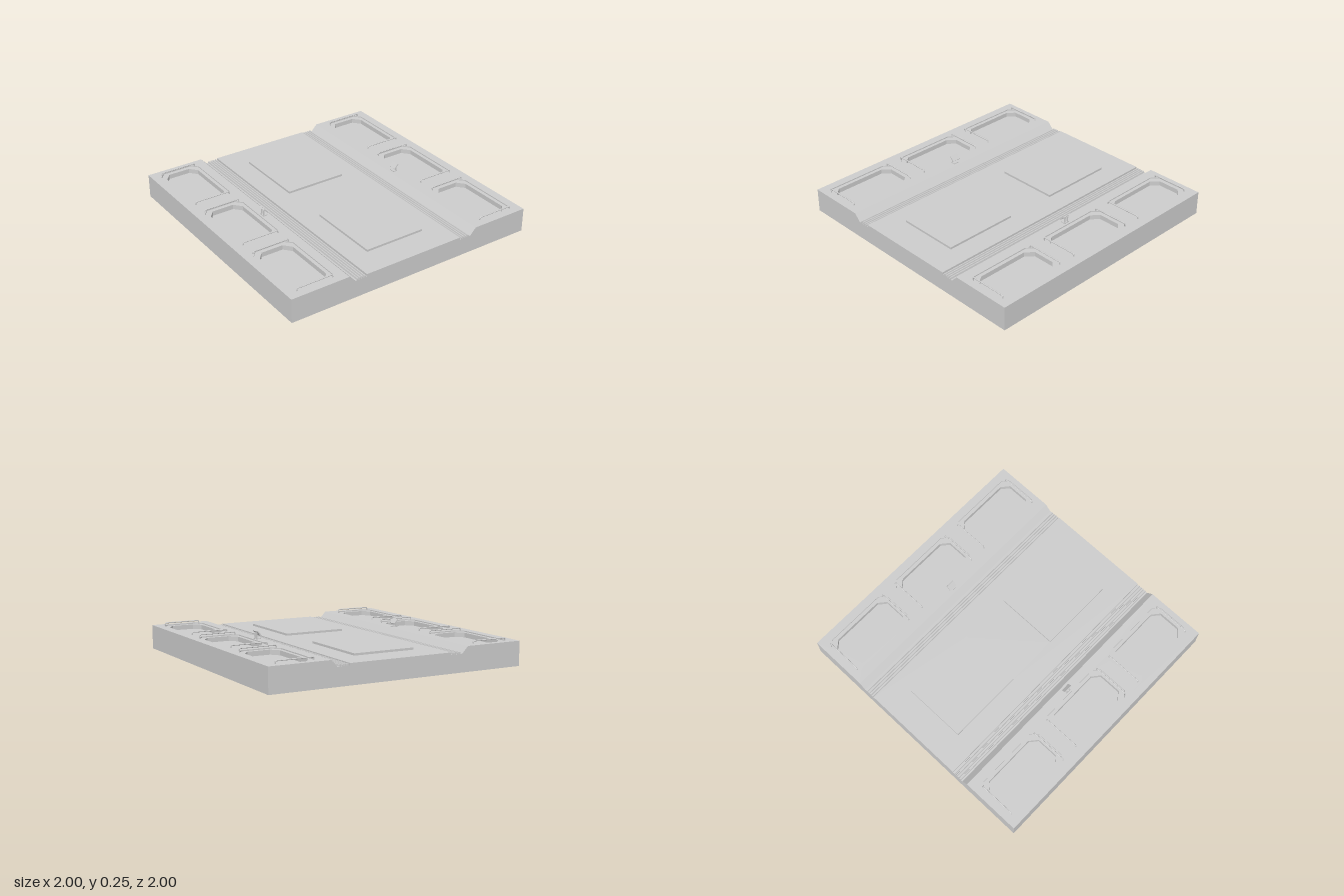
import * as THREE from 'three';

const mat = new THREE.MeshStandardMaterial({ color: 0xcccccc, flatShading: true, side: THREE.DoubleSide });
const TOP = 0.183, FLOOR = 0.15, GROOVE = 0.133, PAD = 0.166, LEDGE = 0.175, POCKET = 0.14;

function add(parent, name, geometry) {
  const mesh = new THREE.Mesh(geometry, mat);
  mesh.name = name;
  parent.add(mesh);
  return mesh;
}

// Surface between two matching rows of [x, y, z] points
function strip(a, b, closed) {
  const pos = [], n = a.length;
  for (let i = 0; i < (closed ? n : n - 1); i++) {
    const j = (i + 1) % n;
    pos.push(...a[i], ...a[j], ...b[j], ...a[i], ...b[j], ...b[i]);
  }
  const g = new THREE.BufferGeometry();
  g.setAttribute('position', new THREE.Float32BufferAttribute(pos, 3));
  g.computeVertexNormals();
  return g;
}

// Rectangle with cut corners as [x, -z] pairs, counter-clockwise from above
function cutRect(x0, x1, y0, y1, cx, cy) {
  if (!cx) return [[x0, y0], [x1, y0], [x1, y1], [x0, y1]];
  return [[x0 + cx, y0], [x1 - cx, y0], [x1, y0 + cy], [x1, y1 - cy],
    [x1 - cx, y1], [x0 + cx, y1], [x0, y1 - cy], [x0, y0 + cy]];
}
const toShape = (pts) => new THREE.Shape(pts.map((p) => new THREE.Vector2(p[0], p[1])));
const ringAt = (pts, y) => pts.map((p) => [p[0], y, -p[1]]);

// Horizontal sheet with holes
function sheet(pts, y, holes = []) {
  const shape = toShape(pts);
  shape.holes = holes.map((h) => new THREE.Path(h.map((p) => new THREE.Vector2(p[0], p[1]))));
  return new THREE.ShapeGeometry(shape).rotateX(-Math.PI / 2).translate(0, y, 0);
}

// Lashing bar with bent ends, standing over a pocket edge
function lashingBar(x0, x1, z) {
  const v = (x, y) => new THREE.Vector3(x, y, z), y = 0.202, r = 0.012;
  const path = new THREE.CurvePath();
  path.add(new THREE.LineCurve3(v(x0, LEDGE), v(x0, y - r)));
  path.add(new THREE.QuadraticBezierCurve3(v(x0, y - r), v(x0, y), v(x0 + r, y)));
  path.add(new THREE.LineCurve3(v(x0 + r, y), v(x1 - r, y)));
  path.add(new THREE.QuadraticBezierCurve3(v(x1 - r, y), v(x1, y), v(x1, y - r)));
  path.add(new THREE.LineCurve3(v(x1, y - r), v(x1, LEDGE)));
  return new THREE.TubeGeometry(path, 72, 0.005, 8);
}

export function createModel() {
  const model = new THREE.Group();
  model.name = 'deckSection';

  // Smooth channels, one on each side of the centre panel: slope, groove, step up
  const left = [[-0.545, TOP], [-0.497, GROOVE], [-0.403, GROOVE], [-0.403, FLOOR]];
  const right = left.map(([x, y]) => [-x, y]).reverse();
  for (const [name, p] of [['rightChannel', left], ['leftChannel', right]]) {
    add(model, name, strip(p.map(([x, y]) => [x, y, 1]), p.map(([x, y]) => [x, y, -1])));
  }

  // Ribs running along each groove
  const rib = toShape([[-0.007, 0], [0.007, 0], [0.004, 0.013], [-0.004, 0.013]]);
  for (const s of [-1, 1]) {
    for (let i = 0; i < 4; i++) {
      add(model, 'grooveRib', new THREE.ExtrudeGeometry(rib, { depth: 2, bevelEnabled: false }))
        .position.set(s * (0.419 + i * 0.0195), GROOVE, -1);
    }
  }

  // Outer walls; the underside stays open
  const outline = [[-1, 0], [1, 0], [1, TOP], ...right.slice().reverse(), ...left.slice().reverse(), [-1, TOP]];
  add(model, 'frontWall', new THREE.ShapeGeometry(toShape(outline)).translate(0, 0, 1));
  add(model, 'backWall', new THREE.ShapeGeometry(toShape(outline)).rotateY(Math.PI).translate(0, 0, -1));
  for (const s of [-1, 1]) {
    add(model, s > 0 ? 'leftWall' : 'rightWall',
      new THREE.PlaneGeometry(2, TOP).rotateY(s * Math.PI / 2).translate(s, TOP / 2, 0));
  }

  // Centre panel with two raised pads
  const pads = [cutRect(-0.24, 0.24, -0.78, -0.2), cutRect(-0.24, 0.24, 0.2, 0.78)];
  add(model, 'centrePanel', sheet(cutRect(-0.403, 0.403, -1, 1), FLOOR, pads));
  for (const p of pads) {
    add(model, 'padEdge', strip(ringAt(p, FLOOR), ringAt(p, PAD), true));
    add(model, 'padTop', sheet(p, PAD));
  }

  // Side decks with stepped pockets, lashing bars and a cleat
  const spans = [[-0.958, -0.382], [-0.288, 0.288], [0.382, 0.958]];
  for (const s of [-1, 1]) {
    const side = new THREE.Group();
    side.name = s > 0 ? 'leftDeck' : 'rightDeck';
    model.add(side);
    const range = (a, b) => (s > 0 ? [a, b] : [-b, -a]);
    const rims = spans.map(([a, b]) => cutRect(...range(0.617, 0.935), a, b, 0.045, 0.05));
    add(side, 'deckTop', sheet(cutRect(...range(0.545, 1), -1, 1), TOP, rims));
    spans.forEach(([a, b], i) => {
      const base = cutRect(...range(0.643, 0.908), a + 0.03, b - 0.03, 0.048, 0.058);
      add(side, 'pocketRim', strip(ringAt(rims[i], TOP), ringAt(rims[i], LEDGE), true));
      add(side, 'pocketLedge', sheet(rims[i], LEDGE, [base]));
      add(side, 'pocketWall', strip(ringAt(base, LEDGE), ringAt(base, POCKET), true));
      add(side, 'pocketFloor', sheet(base, POCKET));
      for (const z of [a + 0.021, b - 0.021]) add(side, 'lashingBar', lashingBar(...range(0.638, 0.918), z));
    });

    // Cleat: foot, two legs and a slanted head
    const cleat = new THREE.Group();
    cleat.name = 'cleat';
    cleat.position.set(s * 0.585, TOP, 0);
    side.add(cleat);
    add(cleat, 'cleatFoot', new THREE.BoxGeometry(0.036, 0.006, 0.044)).position.y = 0.003;
    for (const z of [-0.013, 0.013]) {
      add(cleat, 'cleatLeg', new THREE.BoxGeometry(0.008, 0.045, 0.008)).position.set(s * 0.01, 0.024, z);
    }
    const head = add(cleat, 'cleatHead', new THREE.BoxGeometry(0.046, 0.008, 0.066));
    head.position.set(0, 0.044, 0);
    head.rotation.z = s * 0.82;
  }
  return model;
}
